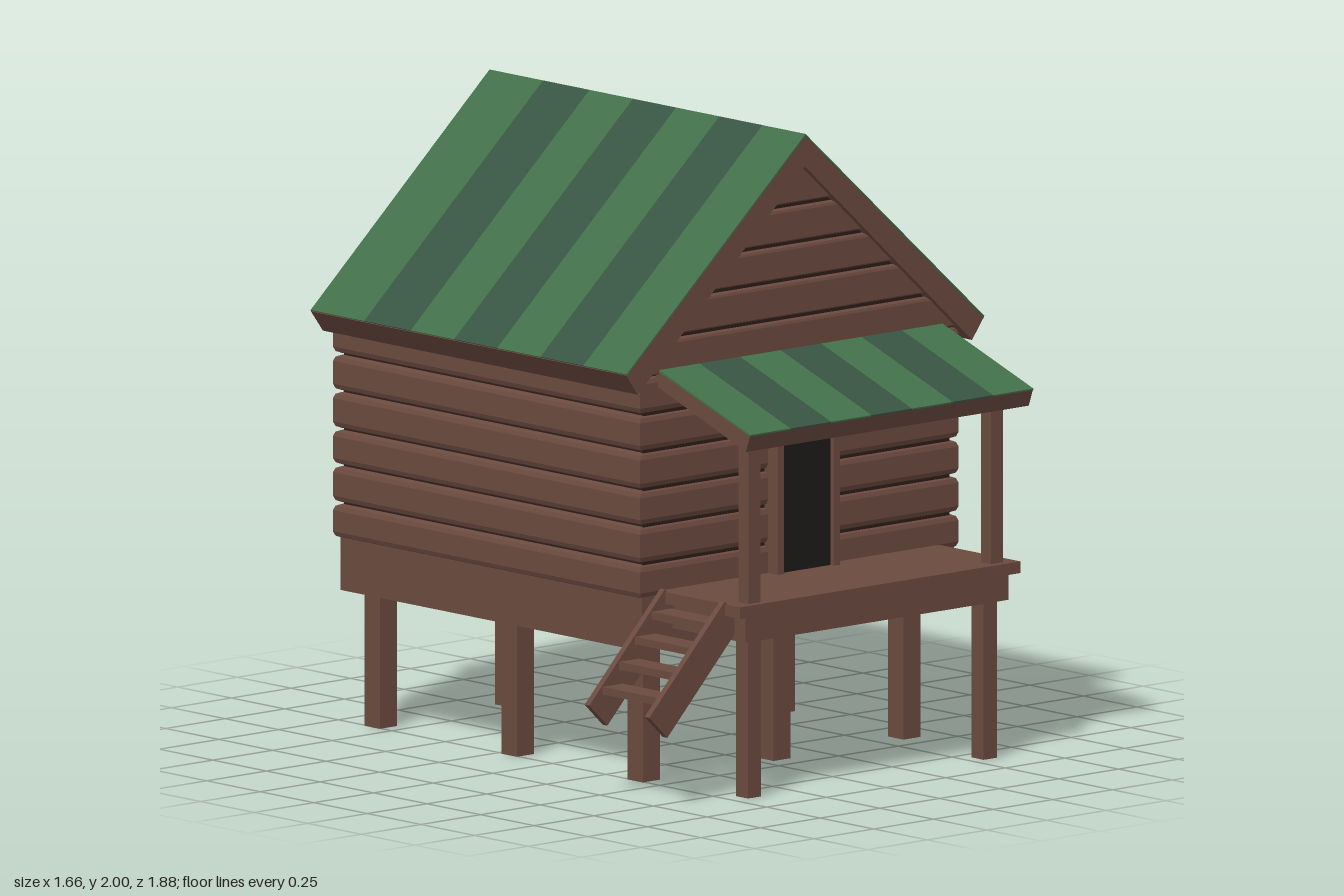
import * as THREE from 'three';

const mat = (color) => new THREE.MeshStandardMaterial({ color });
const wood = mat(0x6b4a3f);
const gapWood = mat(0x2c1c18);
const greenLight = mat(0x42704a);
const greenDark = mat(0x385442);
const doorDark = mat(0x1d191a);

const CX = 0.077; // ridge line of the cabin

export function createModel() {
  const model = new THREE.Group();

  const add = (name, geometry, material = wood, parent = model) => {
    const mesh = new THREE.Mesh(geometry, material);
    mesh.name = name;
    parent.add(mesh);
    return mesh;
  };
  const group = (name) => {
    const g = new THREE.Group();
    g.name = name;
    model.add(g);
    return g;
  };
  // Box given by its limits
  const box = (name, [x0, x1], [y0, y1], [z0, z1], material, parent) => {
    const g = new THREE.BoxGeometry(x1 - x0, y1 - y0, z1 - z0);
    g.translate((x0 + x1) / 2, (y0 + y1) / 2, (z0 + z1) / 2);
    return add(name, g, material, parent);
  };
  // Polygon pulled from 0 to depth, optionally with rounded edges inside its outline
  const prism = (points, depth, bevel = 0) => {
    const shape = new THREE.Shape(points.map(([a, b]) => new THREE.Vector2(a, b)));
    const g = new THREE.ExtrudeGeometry(shape, {
      depth: depth - 2 * bevel, bevelEnabled: bevel > 0, bevelSize: bevel,
      bevelThickness: bevel, bevelOffset: -bevel, bevelSegments: 2,
    });
    return g.translate(0, 0, bevel);
  };

  // Stilts: a ring of eight under the cabin, two under the porch
  const stilts = group('stilts');
  [-0.47, CX, 0.622].forEach((x, i) => [0.393, -0.195, -0.835].forEach((z, j) => {
    if (i === 1 && j === 1) return;
    box('stilt', [x - 0.036, x + 0.036], [0, 0.45], [z - 0.036, z + 0.036], wood, stilts);
  }));
  for (const x of [-0.418, 0.57])
    box('porchStilt', [x - 0.028, x + 0.028], [0, 0.52], [0.796, 0.852], wood, stilts);

  // Floor base
  box('floorBase', [-0.577, 0.731], [0.435, 0.61], [-0.905, 0.503]);

  // Log walls: rounded courses around a dark core
  const walls = group('logWalls');
  box('wallCore', [-0.565, 0.719], [0.6, 1.305], [-0.9, 0.495], gapWood, walls);
  const W = 0.667;
  const levels = [0.597, 0.71, 0.83, 0.945, 1.065, 1.183, 1.305];
  for (let i = 0; i < 6; i++) {
    const h = levels[i + 1] - levels[i] - 0.006;
    const g = prism([[-W, -0.51], [W, -0.51], [W, 0.925], [-W, 0.925]], h, 0.02);
    g.rotateX(-Math.PI / 2).translate(CX, levels[i] + 0.003, 0);
    add('logCourse', g, wood, walls);
  }

  // Gable boards narrowing towards the ridge
  const gables = group('gables');
  const half = (y) => Math.max(0, (1.92 - y) / 0.893);
  add('gableCore', prism([[-0.66, 1.3], [0.66, 1.3], [0, 1.9]], 1.385)
    .translate(CX, 0, -0.89), gapWood, gables);
  const rows = [1.3, 1.42, 1.54, 1.655, 1.775, 1.915];
  for (let i = 0; i < 5; i++) {
    const a = rows[i] + 0.005, b = rows[i + 1] - 0.008;
    const g = prism([[-half(a), a], [half(a), a], [half(b), b], [-half(b), b]], 1.43, 0.012);
    add('gableBoard', g.translate(CX, 0, -0.914), wood, gables);
  }

  // Main roof: wooden chevron with striped green sheets on top
  const roof = group('roof');
  const chevron = (drop, thick) => [
    [0, 2 - drop], [-0.75, 1.33 - drop], [-0.75 + thick * 0.5, 1.33 - drop - thick * 0.67],
    [0, 2 - drop - thick], [0.75 - thick * 0.5, 1.33 - drop - thick * 0.67], [0.75, 1.33 - drop],
  ];
  add('roofFrame', prism(chevron(0.004, 0.1), 1.471).translate(CX, 0, -0.935), wood, roof);
  const zs = [0.538, 0.337, 0.136, -0.066, -0.267, -0.47, -0.687, -0.937];
  for (let i = 0; i < 7; i++) {
    const g = prism(chevron(0, 0.006), zs[i] - zs[i + 1]).translate(CX, 0, zs[i + 1]);
    add('roofStripe', g, i % 2 ? greenDark : greenLight, roof);
  }

  // Porch roof: sloping slab with striped sheets
  const porchRoof = group('porchRoof');
  const across = (points, x0, x1) =>
    prism(points, x1 - x0).rotateY(-Math.PI / 2).translate(x1, 0, 0);
  add('porchRoofFrame', across([[0.5, 1.27], [0.92, 1.117], [0.94, 1.172], [0.5, 1.323]], -0.515, 0.67), wood, porchRoof);
  const step = 1.187 / 7;
  for (let i = 0; i < 7; i++) {
    const x = -0.516 + i * step;
    const g = across([[0.5, 1.32], [0.94, 1.169], [0.941, 1.174], [0.5, 1.327]], x, x + step);
    add('porchRoofStripe', g, i % 2 ? greenDark : greenLight, porchRoof);
  }

  // Porch deck, skirt and posts
  const porch = group('porch');
  box('deck', [-0.513, 0.662], [0.583, 0.62], [0.5, 0.89], wood, porch);
  box('deckSkirt', [-0.475, 0.627], [0.5, 0.584], [0.5, 0.873], wood, porch);
  for (const x of [-0.431, 0.585])
    box('porchPost', [x - 0.025, x + 0.025], [0.615, 1.165], [0.82, 0.866], wood, porch);

  // Doorway
  const door = group('doorway');
  box('doorOpening', [-0.03, 0.18], [0.62, 1.1], [0.49, 0.54], doorDark, door);
  box('doorJamb', [-0.055, -0.03], [0.62, 1.125], [0.49, 0.557], wood, door);
  box('doorJamb', [0.18, 0.205], [0.62, 1.125], [0.49, 0.557], wood, door);
  box('doorLintel', [-0.03, 0.18], [1.1, 1.125], [0.49, 0.557], wood, door);

  // Stairs down the side of the porch
  const stairs = group('stairs');
  for (const z of [0.53, 0.81]) {
    const rail = add('stairRail', new THREE.BoxGeometry(0.457, 0.105, 0.022), wood, stairs);
    rail.position.set(-0.635, 0.428, z);
    rail.rotation.z = 0.806;
  }
  for (let i = 0; i < 4; i++) {
    const x = -0.733 + i * 0.068, y = 0.34 + i * 0.071;
    box('stairTread', [x - 0.042, x + 0.042], [y - 0.012, y + 0.012], [0.535, 0.805], wood, stairs);
  }

  return model;
}
